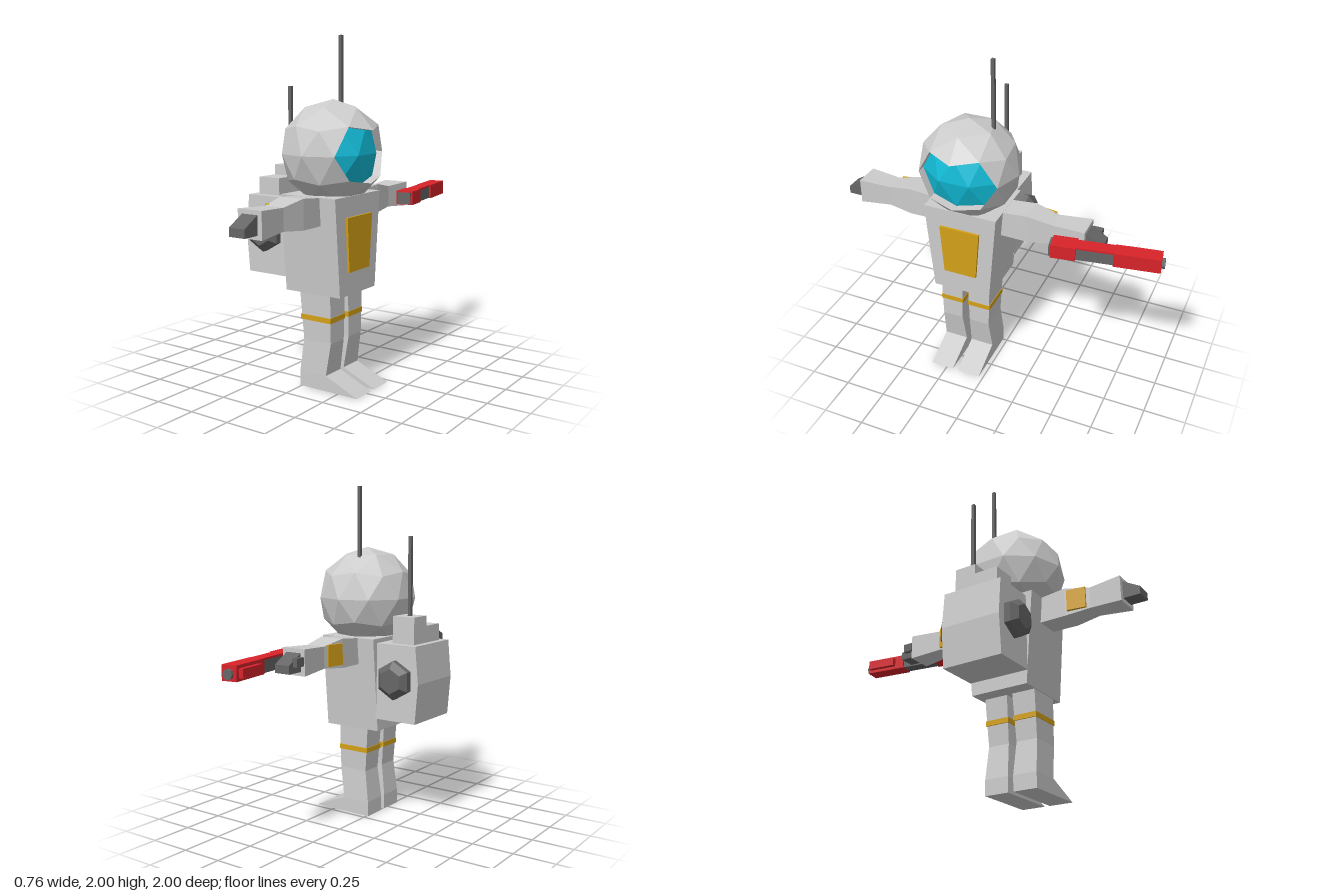
import * as THREE from 'three';

const mat = (color, side = THREE.FrontSide) =>
  new THREE.MeshStandardMaterial({ color, flatShading: true, side });
const grey = mat(0xcccccc), dark = mat(0x666666), red = mat(0xd8232a), yellow = mat(0xd4a017);
const shell = mat(0xcccccc, THREE.DoubleSide), teal = mat(0x12bcd8, THREE.DoubleSide);
const MID = 0.18; // z of the body's centre plane

function add(parent, name, geometry, material, x = 0, y = 0, z = 0) {
  const mesh = new THREE.Mesh(geometry, material);
  mesh.name = name;
  mesh.position.set(x, y, z);
  parent.add(mesh);
  return mesh;
}

const box = (parent, name, material, w, h, d, x, y, z) =>
  add(parent, name, new THREE.BoxGeometry(w, h, d), material, x, y, z);

// Rectangular loft. axis 'y': [y, z0, z1, x0, x1]; axis 'z': [z, x0, x1, y0, y1]
function loft(axis, sections) {
  const rows = [...sections].sort((p, q) => p[0] - q[0]);
  const pos = [], idx = [];
  for (const [t, a0, a1, b0, b1] of rows) {
    for (const [a, b] of [[a0, b0], [a1, b0], [a1, b1], [a0, b1]]) {
      if (axis === 'y') pos.push(b, t, a);
      else pos.push(a, b, t);
    }
  }
  for (let r = 0; r < rows.length - 1; r++) {
    for (let i = 0; i < 4; i++) {
      const a = r * 4 + i, b = r * 4 + (i + 1) % 4;
      idx.push(a, b, b + 4, a, b + 4, a + 4);
    }
  }
  const e = (rows.length - 1) * 4;
  idx.push(0, 2, 1, 0, 3, 2, e, e + 1, e + 2, e, e + 2, e + 3);
  return soup(pos, idx);
}

function soup(pos, idx) {
  let g = new THREE.BufferGeometry();
  g.setAttribute('position', new THREE.Float32BufferAttribute(pos, 3));
  if (idx) {
    g.setIndex(idx);
    g = g.toNonIndexed();
  }
  g.computeVertexNormals();
  return g;
}

// Faceted helmet whose front ten facets are sunk to form the visor
function buildHead(parent) {
  const head = new THREE.Group();
  head.name = 'head';
  head.position.set(0.1, 1.342, MID);
  parent.add(head);
  const R = 0.3, depth = new THREE.Vector3(-0.055, 0, 0);

  // Turn the icosphere so one facet edge lies level across the front
  const p0 = new THREE.IcosahedronGeometry(1, 0).attributes.position;
  const [V, B, C] = [0, 1, 2].map(i => new THREE.Vector3().fromBufferAttribute(p0, i));
  const m1 = V.clone().add(B).normalize(), m2 = V.clone().add(C).normalize();
  const X = m1.clone().add(m2).normalize();
  const Z = m1.clone().sub(m2).normalize();
  const Y = Z.clone().cross(X);
  if (Y.dot(V) < 0) { Y.negate(); Z.negate(); }
  const turn = new THREE.Matrix4().makeBasis(X, Y, Z).transpose();
  const src = new THREE.IcosahedronGeometry(R, 1).applyMatrix4(turn).attributes.position;

  const helmet = [], visor = [], rim = [];
  const isCentre = v => v.x > R * 0.93 && Math.abs(v.y) < R * 0.05;
  for (let i = 0; i < src.count; i += 3) {
    const tri = [0, 1, 2].map(k => new THREE.Vector3().fromBufferAttribute(src, i + k));
    if (!tri.some(isCentre)) {
      tri.forEach(v => helmet.push(...v));
      continue;
    }
    const sunk = tri.map(v => v.clone().add(depth));
    sunk.forEach(v => visor.push(...v));
    for (let k = 0; k < 3; k++) {
      const n = (k + 1) % 3;
      if (isCentre(tri[k]) || isCentre(tri[n])) continue;
      for (const v of [tri[k], sunk[n], tri[n], tri[k], sunk[k], sunk[n]]) rim.push(...v);
    }
  }
  add(head, 'helmet', soup(helmet), shell);
  add(head, 'visorRim', soup(rim), shell);
  add(head, 'visor', soup(visor), teal);
  box(head, 'helmetAntenna', dark, 0.02, 0.42, 0.02, -0.034, 0.448, -0.13);
}

function buildBackpack(parent) {
  const pack = new THREE.Group();
  pack.name = 'backpack';
  parent.add(pack);
  add(pack, 'packBody', loft('y', [
    [0.635, -0.01, 0.367, -0.365, -0.09],
    [0.87, -0.01, 0.367, -0.385, -0.09],
    [1.09, -0.01, 0.367, -0.365, -0.09]]), grey);
  box(pack, 'tallTopBox', grey, 0.147, 0.17, 0.135, -0.253, 1.165, 0.106);
  box(pack, 'lowTopBox', grey, 0.147, 0.11, 0.146, -0.253, 1.135, 0.246);
  box(pack, 'packAntenna', dark, 0.02, 0.47, 0.02, -0.253, 1.475, 0.11);
  // Hexagonal caps on both sides
  for (const s of [1, -1]) {
    const cap = new THREE.Group();
    cap.name = 'sideCap';
    cap.position.set(-0.235, 0.885, MID + s * 0.18);
    cap.rotation.x = s * Math.PI / 2;
    add(cap, 'capBase', new THREE.CylinderGeometry(0.115, 0.115, 0.045, 6), dark, 0, 0.0225, 0);
    add(cap, 'capTip', new THREE.CylinderGeometry(0.075, 0.115, 0.035, 6), dark, 0, 0.0625, 0);
    pack.add(cap);
  }
}

function buildBlaster(parent) {
  const gun = new THREE.Group();
  gun.name = 'blaster';
  gun.position.set(0.2, 1.027, -0.675);
  gun.rotation.y = 0.16;
  parent.add(gun);
  box(gun, 'rearBody', red, 0.105, 0.083, 0.14, 0, 0.002, 0.23);
  box(gun, 'rearPlate', dark, 0.08, 0.07, 0.02, 0, 0, 0.302);
  box(gun, 'grip', dark, 0.075, 0.072, 0.23, 0, -0.004, 0.055);
  box(gun, 'topRail', red, 0.08, 0.012, 0.23, 0, 0.037, 0.055);
  box(gun, 'frontBody', red, 0.092, 0.086, 0.26, 0, 0, -0.18);
  box(gun, 'sidePod', red, 0.03, 0.05, 0.18, -0.058, 0, -0.2);
  const muzzle = add(gun, 'muzzle', new THREE.CylinderGeometry(0.03, 0.03, 0.03, 8), dark, 0, -0.005, -0.313);
  muzzle.rotation.x = Math.PI / 2;
}

export function createModel() {
  const model = new THREE.Group();
  model.name = 'astronaut';

  // Torso and chest plate
  add(model, 'torso', loft('y', [
    [0.557, 0, 0.36, -0.1, 0.27],
    [1.115, -0.047, 0.407, -0.1, 0.27]]), grey);
  add(model, 'chestPlate', loft('y', [
    [0.69, 0.08, 0.285, 0.26, 0.284],
    [1.0, 0.055, 0.305, 0.26, 0.284]]), yellow);

  buildHead(model);
  buildBackpack(model);

  // Arms, hands, legs: s = 1 at +z, s = -1 mirrored
  const armRows = [
    [0.38, 0.015, 0.165, 0.957, 1.112], [0.555, 0.013, 0.168, 0.957, 1.128],
    [0.705, 0.03, 0.152, 0.972, 1.098], [0.9, 0.012, 0.168, 0.957, 1.108]];
  const handRows = [[0.89, 0.04, 0.14, 0.98, 1.09], [1.0, 0.04, 0.14, 0.98, 1.027]];
  const legRows = [
    [0, 0.028, 0.174, -0.01, 0.38], [0.09, 0.028, 0.174, -0.01, 0.17],
    [0.28, 0.038, 0.168, 0.015, 0.2], [0.57, 0.028, 0.174, -0.008, 0.2]];
  for (const s of [1, -1]) {
    const side = s > 0 ? 'near' : 'far';
    const flip = z => (s > 0 ? z : 2 * MID - z);
    const alongZ = rows => loft('z', rows.map(([z, ...r]) => [flip(z), ...r]));
    add(model, side + 'Arm', alongZ(armRows), grey);
    add(model, side + 'Hand', alongZ(handRows), dark);
    const patch = box(model, side + 'ArmPatch', yellow, 0.022, 0.125, 0.112, 0.017, 1.042, flip(0.627));
    patch.rotation.y = s * 0.15;
    const legZ = s > 0 ? 0.18 : 0;
    add(model, side + 'Leg', loft('y', legRows.map(
      ([y, z0, z1, ...x]) => [y, z0 + legZ, z1 + legZ, ...x])), grey);
    box(model, side + 'LegBand', yellow, 0.204, 0.03, 0.146, 0.101, 0.414, 0.102 + legZ);
  }
  // Thumb of the gripping hand
  box(model, 'thumb', dark, 0.035, 0.05, 0.06, 0.03, 1.04, -0.575);
  buildBlaster(model);
  return model;
}
